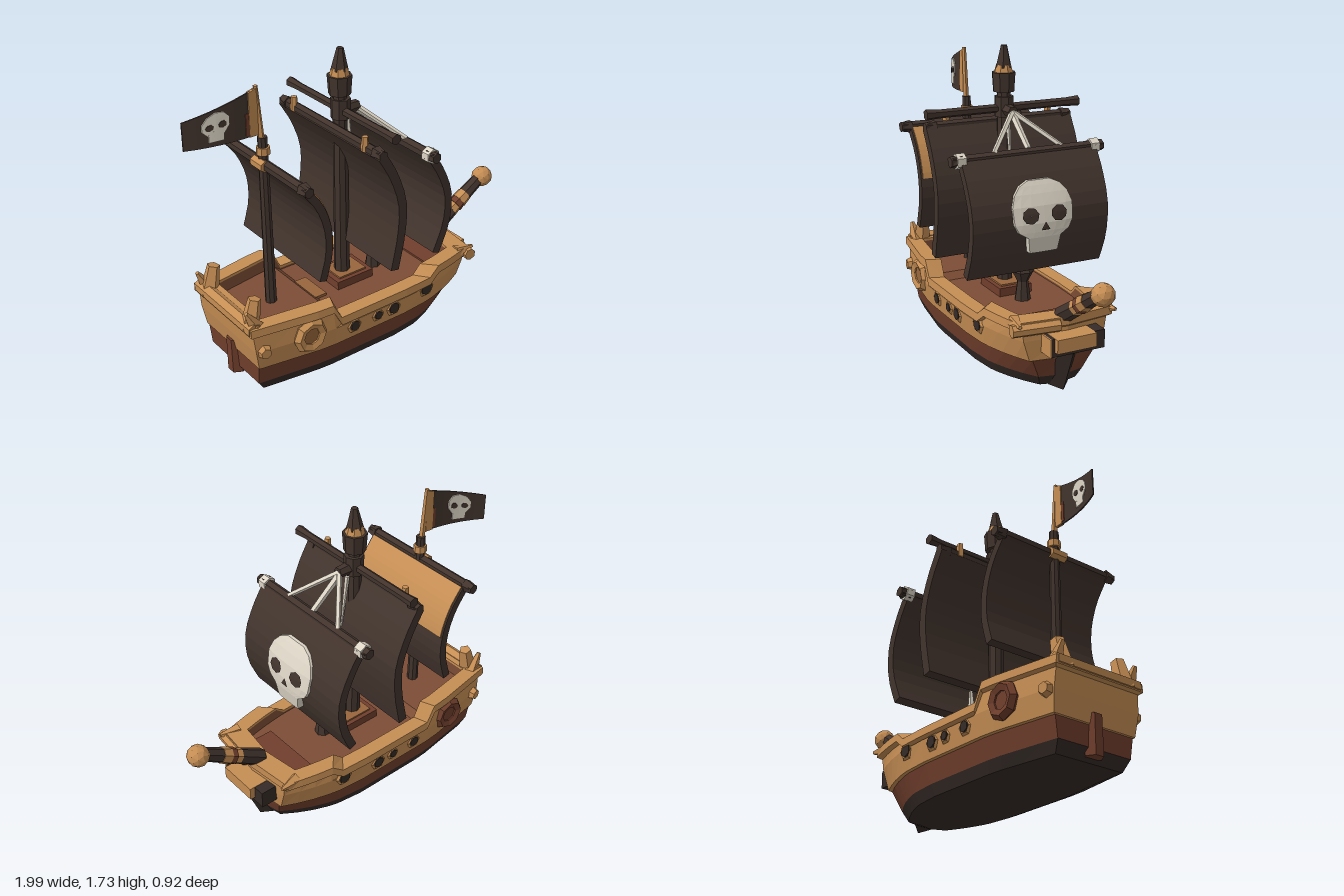
import * as THREE from 'three';

const M = (name, color) => new THREE.MeshStandardMaterial({ name, color, flatShading: true });
const V = (x, y, z = 0) => new THREE.Vector3(x, y, z);
const lerp = THREE.MathUtils.lerp;

export function createModel() {
  const ship = new THREE.Group();
  ship.name = 'sailingShip';
  const tan = M('tanWood', 0xc68e54), red = M('redBrownWood', 0x713f2d), keel = M('keelWood', 0x352b27);
  const dark = M('darkCloth', 0x42342d), bone = M('bone', 0xddd5c6), deckMat = M('deckWood', 0x7c4d35);
  const plank = M('plankWood', 0x99663d);

  const add = (name, geo, mat, x = 0, y = 0, z = 0) => {
    const m = new THREE.Mesh(geo, mat);
    m.name = name;
    m.position.set(x, y, z);
    ship.add(m);
    return m;
  };
  const box = (name, mat, w, h, d, x, y, z) => add(name, new THREE.BoxGeometry(w, h, d), mat, x, y, z);
  // Tapered round bar from a to b
  const rod = (name, mat, a, b, r1, r2 = r1, sides = 7) => {
    const mid = a.clone().add(b).multiplyScalar(0.5);
    const m = add(name, new THREE.CylinderGeometry(r2, r1, a.distanceTo(b), sides), mat, mid.x, mid.y, mid.z);
    m.quaternion.setFromUnitVectors(V(0, 1, 0), b.clone().sub(a).normalize());
    return m;
  };
  // Skin over successive rows of points
  const loft = (rows, closed) => {
    const pos = [];
    for (let r = 0; r + 1 < rows.length; r++) {
      const a = rows[r], b = rows[r + 1], n = a.length;
      for (let i = 0; i < (closed ? n : n - 1); i++) {
        const j = (i + 1) % n;
        for (const p of [a[i], a[j], b[j], a[i], b[j], b[i]]) pos.push(p.x, p.y, p.z);
      }
    }
    const g = new THREE.BufferGeometry();
    g.setAttribute('position', new THREE.Float32BufferAttribute(pos, 3));
    g.computeVertexNormals();
    return g;
  };

  // Hull plan: half outline from stern to nose, mirrored into a ring
  const us = [0, 0.06, 0.15, 0.25, 0.315, 0.35, 0.5, 0.65, 0.77, 0.815, 0.88, 0.94, 1];
  const half = (xs, xb, w, bow, y, side) => {
    const height = typeof y === 'function' ? y : () => y;
    const pts = us.map(u => {
      const s = lerp(0.8, 1, Math.min(1, u / 0.28)) * lerp(1, bow, Math.max(0, (u - 0.65) / 0.35) ** 2);
      return V(lerp(xs, xb, u), height(u), side * w * s);
    });
    return [...pts, V(xb + 0.03, height(1), 0)];
  };
  const ring = (...p) => [...half(...p, 1), ...half(...p, -1).slice(0, -1).reverse()];
  const top = u => (u < 0.33 ? 0.485 : u < 0.78 ? 0.39 : 0.44);
  const at = d => u => top(u) - d;
  const deckY = u => (u < 0.33 ? 0.4 : 0.365);
  const bottom = [-0.7, 0.42, 0.2, 0.4, 0.01], waterline = [-0.84, 0.53, 0.292, 0.45, 0.1];
  const wale = [-0.845, 0.56, 0.313, 0.58, 0.21], innerRail = [-0.8, 0.47, 0.268, 0.8];
  add('lowerHull', loft([ring(...bottom), ring(-0.8, 0.5, 0.268, 0.4, 0.04), ring(...waterline)], true), keel);
  add('hullBottom', loft([-1, 1].map(s => half(...bottom, s))), keel);
  add('middleHull', loft([ring(...waterline), ring(...wale)], true), red);
  add('upperHull', loft([
    ring(...wale), ring(-0.85, 0.565, 0.328, 0.62, 0.215),
    ring(-0.87, 0.57, 0.343, 0.7, 0.33), ring(-0.88, 0.57, 0.335, 0.74, at(0.055)),
    ring(-0.9, 0.58, 0.357, 0.78, at(0.045)), ring(-0.9, 0.58, 0.352, 0.78, at(0)),
    ring(...innerRail, at(0)), ring(...innerRail, at(0.015))], true), tan);
  add('innerBulwark', loft([ring(...innerRail, at(0.015)), ring(...innerRail, u => deckY(u) - 0.01)], true), deckMat);
  add('deck', loft([1, -1].map(s => half(...innerRail, deckY, s))), deckMat);
  box('deckPlank', plank, 0.12, 0.02, 0.2, -0.36, 0.37, 0);
  box('hatch', red, 0.24, 0.055, 0.2, -0.1, 0.385, 0);
  box('hatchLid', plank, 0.18, 0.01, 0.15, -0.1, 0.417, 0);
  box('foreDeckPanel', red, 0.13, 0.012, 0.36, 0.4, 0.37, 0);

  // Stem, rudder and bow beams
  rod('stem', keel, V(0.505, 0.035), V(0.625, 0.34), 0.062, 0.065, 4);
  rod('rudder', red, V(-0.825, 0.06), V(-0.83, 0.27), 0.052, 0.048, 6);
  box('bowBeamCore', keel, 0.1, 0.1, 0.315, 0.62, 0.31, -0.0225);
  box('bowBeam', tan, 0.13, 0.075, 0.23, 0.635, 0.325, 0);
  box('bowBeamEnd', tan, 0.11, 0.1, 0.008, 0.625, 0.312, 0.139);
  rod('bowLog', tan, V(0.6, 0.4, 0.05), V(0.57, 0.4, 0.31), 0.035, 0.035);
  for (const s of [1, -1]) {
    rod('bowSpike', tan, V(0.5, 0.42, s * 0.26), V(0.61, 0.43, s * 0.28), 0.04, 0.01, 5);
    rod('sternPost', tan, V(-0.86, 0.44, s * 0.2), V(-0.82, 0.61, s * 0.2), 0.055, 0.035, 5);
    rod('sternHorn', tan, V(-0.84, 0.46, s * 0.24), V(-0.9, 0.57, s * 0.24), 0.045, 0.012, 5);
    rod('sternKnob', tan, V(-0.82, 0.33, s * 0.25), V(-0.83, 0.33, s * 0.31), 0.05, 0.03, 6);
    // Round side window and gun ports
    const frame = s > 0 ? tan : red;
    add('windowFrame', new THREE.TorusGeometry(0.073, 0.03, 5, 8), frame, -0.57, 0.345, s * 0.328);
    const pane = add('windowPane', new THREE.CylinderGeometry(0.06, 0.06, 0.03, 8), s > 0 ? plank : red, -0.57, 0.345, s * 0.322);
    pane.rotation.x = Math.PI / 2;
    for (const [x, r] of [[-0.29, 0.031], [-0.13, 0.025], [-0.02, 0.034], [0.22, 0.038]]) {
      const z = s * (x > 0.1 ? 0.325 : 0.335), y = x > 0.1 ? 0.32 : 0.295;
      const port = add('gunPort', new THREE.CylinderGeometry(r, r, 0.03, 6), keel, x, y, z);
      port.rotation.x = Math.PI / 2;
      add('gunPortFrame', new THREE.TorusGeometry(r + 0.006, 0.012, 4, 6), tan, x, y, z);
    }
  }
  rod('sternRail', tan, V(-0.87, 0.47, -0.27), V(-0.87, 0.47, 0.27), 0.04, 0.04, 6);

  // Bowsprit in coloured sections
  const spar = t => V(lerp(0.5, 0.93, t), lerp(0.4, 0.675, t));
  [[0.1, 0.45, dark, 0.05], [0.43, 0.53, tan, 0.046], [0.51, 0.6, red, 0.049], [0.58, 0.69, tan, 0.049], [0.67, 0.94, dark, 0.042]]
    .forEach(([a, b, mat, r]) => rod('bowsprit', mat, spar(a), spar(b), r, r * 0.9));
  add('bowspritKnob', new THREE.IcosahedronGeometry(0.062, 1), tan, 0.93, 0.665, 0);

  // Main mast and crow's nest
  rod('mainMast', dark, V(-0.118, 0.3), V(-0.125, 1.5), 0.045, 0.038, 8);
  rod('mastCollar', dark, V(-0.12, 1.35), V(-0.12, 1.46), 0.054, 0.054, 8);
  rod('crowsNest', dark, V(-0.125, 1.485), V(-0.125, 1.59), 0.06, 0.067, 8);
  rod('nestRim', tan, V(-0.125, 1.585), V(-0.125, 1.63), 0.055, 0.042, 8);
  rod('mastCap', dark, V(-0.125, 1.615), V(-0.12, 1.735), 0.047, 0.018, 6);
  rod('stayBlock', dark, V(-0.1, 1.39), V(-0.01, 1.39), 0.035, 0.03, 6);
  rod('topYard', dark, V(-0.12, 1.395, -0.4), V(-0.12, 1.395, 0.4), 0.024, 0.024, 6);
  for (const s of [1, -1]) rod('topYardTip', dark, V(-0.12, 1.395, s * 0.36), V(-0.12, 1.395, s * 0.46), 0.022, 0.03, 6);

  // Mizzen mast
  rod('mizzenMast', dark, V(-0.595, 0.38), V(-0.605, 1.38), 0.032, 0.026, 8);
  rod('mizzenBand', tan, V(-0.603, 1.285), V(-0.603, 1.325), 0.038, 0.036, 8);

  // Curved sails: a side profile drawn out across the ship
  const profile = (pts, off, t) => {
    const c = new THREE.SplineCurve(pts.map(p => new THREE.Vector2(...p)));
    return Array.from({ length: 11 }, (_, i) => {
      const u = t * i / 10, p = c.getPoint(u), d = c.getTangent(u);
      return new THREE.Vector2(p.x - d.y * off, p.y + d.x * off);
    });
  };
  const sail = (name, mat, pts, w, front, back, t = 1) => {
    const shape = new THREE.Shape([...profile(pts, front, t), ...profile(pts, back, t).reverse()]);
    const g = new THREE.ExtrudeGeometry(shape, { depth: 2 * w, bevelEnabled: false });
    return add(name, g, mat, 0, 0, -w);
  };
  const foreLine = [[0.165, 1.19], [0.24, 1.07], [0.295, 0.92], [0.285, 0.75], [0.22, 0.59]];
  const mainLine = [[-0.19, 1.31], [-0.11, 1.17], [-0.055, 1.0], [-0.06, 0.82], [-0.1, 0.62]];
  const mizzenLine = [[-0.6, 1.22], [-0.52, 1.11], [-0.47, 0.97], [-0.465, 0.82], [-0.505, 0.67]];
  sail('foreSail', dark, foreLine, 0.4, 0.024, -0.024);
  sail('mainSail', dark, mainLine, 0.44, 0.026, -0.026);
  sail('mizzenSail', dark, mizzenLine, 0.36, 0.022, -0.022);
  sail('mizzenSailPatch', tan, mizzenLine, 0.35, 0.028, 0.02, 0.52);
  for (const [name, x, y, w, r] of [['foreYard', 0.16, 1.2, 0.45, 0.03], ['mainYard', -0.185, 1.315, 0.44, 0.027], ['mizzenYard', -0.61, 1.235, 0.41, 0.028]]) {
    rod(name, dark, V(x, y, -w), V(x, y, w), r, r, 6);
    for (const s of [1, -1]) rod(name + 'Tip', dark, V(x, y, s * (w - 0.06)), V(x, y, s * (w - 0.01)), r + 0.01, r, 5);
  }
  for (const s of [1, -1]) {
    rod('yardPeg', tan, V(-0.2, 1.3, s * 0.31), V(-0.2, 1.38, s * 0.31), 0.022, 0.018, 5);
    rod('yardWrap', bone, V(0.16, 1.2, s * 0.37), V(0.16, 1.2, s * 0.42), 0.042, 0.042, 6);
    rod('sideStay', bone, V(-0.02, 1.39, 0), V(0.16, 1.22, s * 0.2), 0.016, 0.014, 5);
  }
  rod('middleStay', bone, V(-0.03, 1.385), V(0.16, 1.225), 0.02, 0.017, 5);
  rod('hangingRope', bone, V(-0.075, 1.34), V(-0.035, 1.04), 0.014, 0.005, 5);
  rod('mizzenTie', tan, V(-0.625, 1.235, -0.05), V(-0.625, 1.235, 0.05), 0.03, 0.03, 6);

  // Capstan and spike on deck
  rod('capstanBase', dark, V(0.1, 0.3), V(0.1, 0.48), 0.055, 0.03);
  rod('capstanHead', dark, V(0.1, 0.47), V(0.1, 0.53), 0.03, 0.062);
  rod('capstanTop', dark, V(0.1, 0.53), V(0.1, 0.6), 0.062, 0.025);
  rod('deckSpike', bone, V(0.09, 0.58), V(0.1, 0.78), 0.022, 0.002, 5);

  // Domed skull emblem following the fore sail
  const front = profile(foreLine, 0.022, 1);
  const sailX = y => {
    const i = Math.max(1, front.findIndex(p => p.y <= y)), a = front[i - 1], b = front[i];
    return lerp(a.x, b.x, (a.y - y) / (a.y - b.y));
  };
  const skullX = (y, z) => sailX(y) + (0.02 + 0.024 * (1.08 - y) / 0.36) * (0.35 + 0.65 * Math.sqrt(Math.max(0, 1 - (z / 0.19) ** 2)));
  const skullRow = (y, w, flat) => {
    const zs = [1, 1, 0.75, 0.4, 0, -0.4, -0.75, -1, -1];
    return zs.map((k, i) => V(flat || i === 0 || i === 8 ? sailX(y) - 0.005 : skullX(y, k * w), y, k * w));
  };
  const outline = [[0.71, 0.082], [0.795, 0.095], [0.825, 0.145], [0.87, 0.17], [0.96, 0.176], [1.02, 0.155], [1.06, 0.12], [1.085, 0.065]];
  add('skull', loft([skullRow(...outline[0], true), ...outline.map(([y, w]) => skullRow(y, w)), skullRow(...outline[7], true)]), bone);
  const mark = (name, g, y, z) => {
    g.rotateY(Math.PI / 2).translate(0, y, z);
    const p = g.attributes.position;
    for (let i = 0; i < p.count; i++) p.setX(i, skullX(p.getY(i), p.getZ(i)) + 0.007);
    add(name, g, dark);
  };
  for (const s of [1, -1]) mark('eyeSocket', new THREE.RingGeometry(0.001, 0.048, 8, 3, 0.2).scale(1, 0.9, 1), 0.915, s * 0.083);
  mark('noseHole', new THREE.RingGeometry(0.001, 0.03, 3, 3, Math.PI / 2), 0.85, 0);

  // Waving flag with an emblem on both faces
  const wave = g => {
    const p = g.attributes.position;
    for (let i = 0; i < p.count; i++) {
      const t = p.getX(i), v = p.getY(i);
      p.setXYZ(i, -1 + 0.37 * t, lerp(1.38 + 0.02 * t, 1.53 + 0.12 * t, v), p.getZ(i) - 0.09 * (1 - t) ** 2);
    }
    g.computeVertexNormals();
    return g;
  };
  const disc = (r, ry, h, t, v, n = 10) => wave(new THREE.CylinderGeometry(1, 1, h, n).rotateX(Math.PI / 2).scale(r, ry, 1).translate(t, v, 0));
  const panel = (w, h, d, t, v) => wave(new THREE.BoxGeometry(w, h, d, 6, 1, 1).translate(t, v, 0));
  add('flag', panel(1, 1, 0.008, 0.5, 0.5), dark);
  add('flagHem', panel(0.13, 1, 0.02, 0.935, 0.5), tan);
  add('flagHemShade', panel(0.06, 0.5, 0.016, 0.85, 0.3), red);
  add('flagSkull', disc(0.19, 0.33, 0.02, 0.41, 0.6), bone);
  add('flagJaw', panel(0.2, 0.3, 0.02, 0.41, 0.29), bone);
  for (const s of [1, -1]) add('flagSkullEye', disc(0.055, 0.09, 0.026, 0.41 + s * 0.085, 0.57, 7), dark);
  rod('flagStaff', tan, V(-0.61, 1.36), V(-0.632, 1.66), 0.017, 0.012, 5);
  return ship;
}
